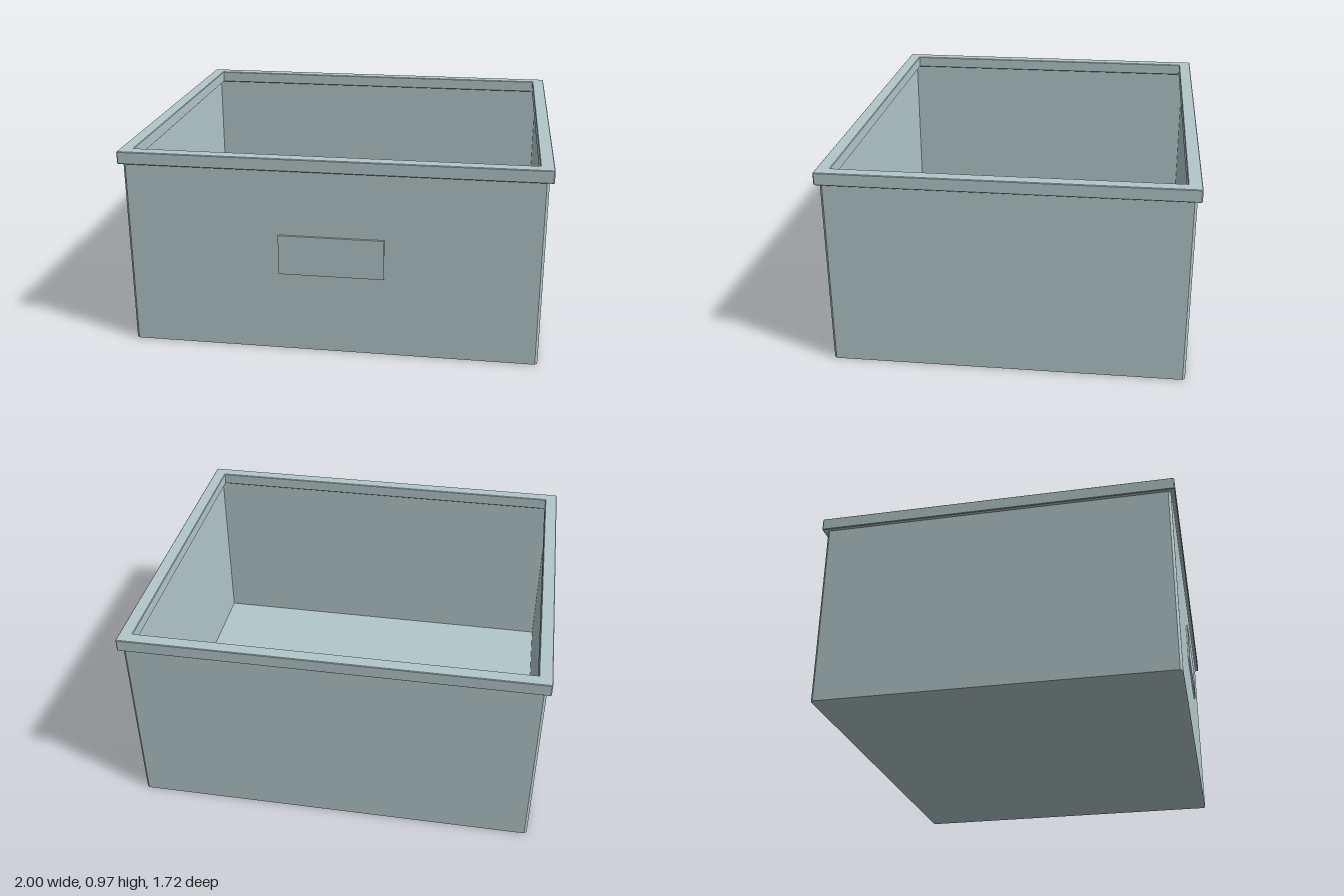
import * as THREE from 'three';

// Adds a rectangle with clipped corners to a Shape or Path
function outline(path, hx, hz, c) {
  const pts = [
    [hx - c, -hz], [hx, -hz + c], [hx, hz - c], [hx - c, hz],
    [-hx + c, hz], [-hx, hz - c], [-hx, -hz + c], [-hx + c, -hz],
  ];
  return path.setFromPoints(pts.map(([x, y]) => new THREE.Vector2(x, y)));
}

function rectangle(path, hx, hz) {
  return path.setFromPoints([[-hx, -hz], [-hx, hz], [hx, hz], [hx, -hz]]
    .map(([x, y]) => new THREE.Vector2(x, y)));
}

// Extrudes a plan shape upward from y0 to y1, with an optional bevel
function slab(shape, y0, y1, bevel = 0) {
  const geometry = new THREE.ExtrudeGeometry(shape, {
    depth: y1 - y0 - 2 * bevel,
    bevelEnabled: bevel > 0,
    bevelThickness: bevel,
    bevelSize: bevel,
    bevelOffset: -bevel,
    bevelSegments: 1,
  });
  geometry.rotateX(-Math.PI / 2);
  geometry.translate(0, y0 + bevel, 0);
  return geometry;
}

export function createModel() {
  const group = new THREE.Group();
  group.name = 'storageBin';
  const plastic = new THREE.MeshStandardMaterial({ color: 0xb2c7c9 });
  plastic.name = 'paleBlueGrey';

  const add = (name, geometry) => {
    const mesh = new THREE.Mesh(geometry, plastic);
    mesh.name = name;
    group.add(mesh);
    return mesh;
  };

  // Floor panel
  add('floor', slab(outline(new THREE.Shape(), 0.98, 0.84, 0.012), 0, 0.02));

  // Four walls as one hollow ring with clipped outer corners
  const walls = outline(new THREE.Shape(), 0.98, 0.84, 0.012);
  walls.holes.push(rectangle(new THREE.Path(), 0.96, 0.82));
  add('walls', slab(walls, 0.02, 0.92));

  // Rim overhanging the walls on both sides
  const rim = outline(new THREE.Shape(), 1, 0.86, 0.005);
  rim.holes.push(rectangle(new THREE.Path(), 0.937, 0.797));
  add('rim', slab(rim, 0.91, 0.97, 0.003));

  // Label plate on the front wall
  add('labelPlate', new THREE.BoxGeometry(0.5, 0.195, 0.02)).position.set(0, 0.493, 0.841);

  return group;
}
